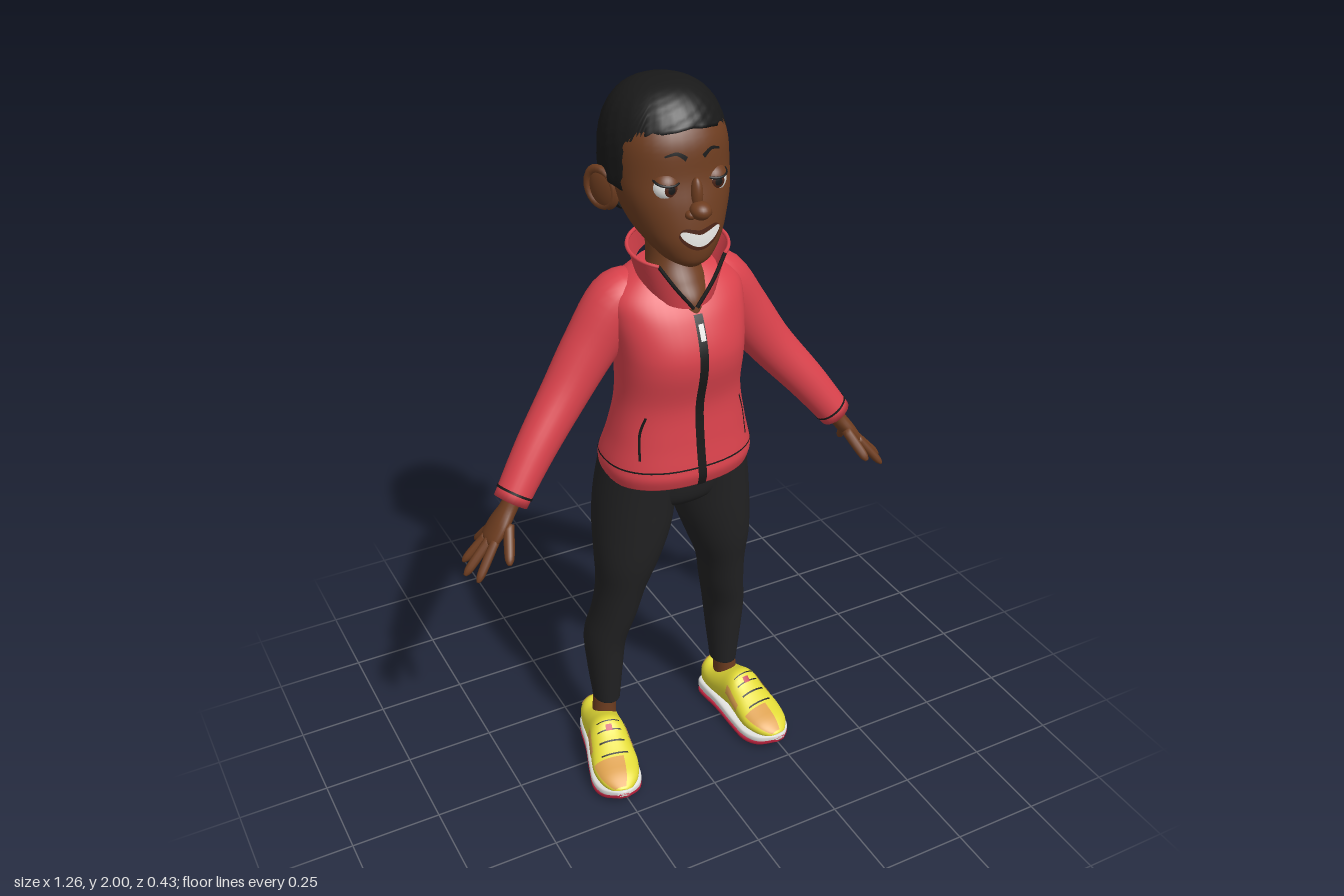
import * as THREE from 'three';

const mat = (name, color, side = THREE.FrontSide) => {
  const m = new THREE.MeshStandardMaterial({ color, side });
  m.name = name;
  return m;
};
const D = THREE.DoubleSide;

// Smooth interpolation through the rows of a table, t = 0..1
function at(rows, t) {
  const n = rows.length - 1, f = Math.min(Math.max(t, 0), 1) * n, i = Math.min(Math.floor(f), n - 1), s = f - i;
  const [p, a, b, q] = [rows[Math.max(i - 1, 0)], rows[i], rows[i + 1], rows[Math.min(i + 2, n)]];
  return a.map((_, k) => {
    const v0 = (b[k] - p[k]) / 2, v1 = (q[k] - a[k]) / 2;
    return a[k] + v0 * s + (3 * (b[k] - a[k]) - 2 * v0 - v1) * s * s + (2 * (a[k] - b[k]) + v0 + v1) * s * s * s;
  });
}

// Grid surface from fn(u, t); closed surfaces wrap in u and may be capped at both ends
function grid(fn, nu, nv, { closed = true, cap = closed, flip = false } = {}) {
  const pos = [], idx = [], cols = closed ? nu : nu + 1, rings = [];
  for (let j = 0; j <= nv; j++) rings.push(Array.from({ length: cols }, (_, i) => fn(i / nu, j / nv)));
  if (cap) {
    const mid = (r) => r.map(() => [0, 1, 2].map((k) => r.reduce((s, p) => s + p[k], 0) / r.length));
    rings.unshift(mid(rings[0]));
    rings.push(mid(rings[rings.length - 1]));
  }
  rings.forEach((r) => r.forEach((p) => pos.push(...p)));
  for (let j = 0; j < rings.length - 1; j++) for (let i = 0; i < nu; i++) {
    const a = j * cols + i, b = j * cols + (i + 1) % cols, c = a + cols, d = b + cols;
    if (flip) idx.push(a, b, c, b, d, c); else idx.push(a, c, b, b, c, d);
  }
  const g = new THREE.BufferGeometry();
  g.setAttribute('position', new THREE.Float32BufferAttribute(pos, 3));
  g.setIndex(idx);
  g.computeVertexNormals();
  return g;
}

const pw = (v, e) => Math.sign(v) * Math.abs(v) ** (2 / e);

// Loft of rows [position, centreX, halfWidth, high, low]; a u/t range makes a thin patch on the surface
function loft(rows, { axis = 'y', e = 2.2, nu = 36, nv = 40, u = null, t = [0, 1], grow = 0 } = {}) {
  const [u0, u1] = u || [0, 1];
  const fn = (a, b) => {
    const [p, cx, hw, hi, lo] = at(rows, t[0] + (t[1] - t[0]) * b), w = (u0 + (u1 - u0) * a) * Math.PI * 2;
    const x = cx + (hw + grow) * pw(Math.cos(w), e), o = (hi + lo) / 2 + ((hi - lo) / 2 + grow) * pw(Math.sin(w), e);
    return axis === 'y' ? [x, p, o] : [x, o, p];
  };
  return grid(fn, nu, nv, { closed: !u, cap: !u && !grow, flip: axis === 'z' });
}

// Limb along rows [x, y, z, thickness, depth]
function limb(rows, { nu = 20, nv = 24, t = [0, 1], grow = 0 } = {}) {
  const vec = (q) => new THREE.Vector3(...at(rows, q).slice(0, 3));
  return grid((a, b) => {
    const q = t[0] + (t[1] - t[0]) * b, r = at(rows, q), w = a * Math.PI * 2;
    const tan = vec(q + 0.01).sub(vec(q - 0.01)).normalize();
    const side = tan.clone().cross(new THREE.Vector3(0, 0, 1)).normalize(), up = side.clone().cross(tan);
    return vec(q).addScaledVector(side, Math.cos(w) * (r[3] + grow)).addScaledVector(up, Math.sin(w) * (r[4] + grow)).toArray();
  }, nu, nv, { cap: !grow });
}

// Front surface depth of a vertical loft at (x, y)
const frontZ = (rows, e) => (x, y) => {
  let lo = 0, hi = 1;
  for (let i = 0; i < 24; i++) { const m = (lo + hi) / 2; if (at(rows, m)[0] < y) lo = m; else hi = m; }
  const [, cx, hw, f, b] = at(rows, lo);
  return (f + b) / 2 + (f - b) / 2 * (1 - Math.min(1, Math.abs((x - cx) / hw)) ** e) ** (1 / e);
};

// Thin strip painted along 2D points on a front surface
const ribbon = (pts, width, zFn, off) => grid((a, b) => {
  const p = at(pts, b), l = at(pts, b - 0.01), r = at(pts, b + 0.01);
  const dx = r[0] - l[0], dy = r[1] - l[1], len = Math.hypot(dx, dy), w = (a * 2 - 1) * width(b);
  const x = p[0] - dy / len * w, y = p[1] + dx / len * w;
  return [x, y, zFn(x, y) + off];
}, 4, 28, { closed: false });

const HX = -0.01; // head centre
const HEAD = [[1.58, HX, 0.025, 0.125, 0.06], [1.6, HX, 0.06, 0.143, 0.01], [1.64, HX, 0.093, 0.15, -0.05], [1.68, HX, 0.116, 0.148, -0.1],
  [1.74, HX, 0.137, 0.138, -0.13], [1.8, HX, 0.145, 0.124, -0.15], [1.88, HX, 0.14, 0.115, -0.16], [1.94, HX, 0.108, 0.078, -0.13], [1.975, HX, 0.05, 0.02, -0.08]];
const NECK = [[1.43, 0, 0.02, 0.122, 0], [1.48, 0, 0.058, 0.112, -0.05], [1.52, -0.003, 0.072, 0.088, -0.07], [1.58, -0.006, 0.062, 0.055, -0.075], [1.68, HX, 0.06, 0.04, -0.08]];
const TORSO = [[0.97, 0, 0.2, 0.145, -0.15], [1, 0, 0.207, 0.155, -0.158], [1.03, 0, 0.204, 0.153, -0.155], [1.1, 0, 0.186, 0.145, -0.13], [1.2, 0, 0.168, 0.14, -0.11],
  [1.3, 0, 0.168, 0.16, -0.115], [1.36, 0, 0.172, 0.157, -0.12], [1.43, 0, 0.18, 0.13, -0.125], [1.48, 0, 0.178, 0.098, -0.12], [1.52, 0, 0.14, 0.065, -0.1], [1.55, 0, 0.085, 0.045, -0.085]];
const PELVIS = [[0.85, 0, 0.05, 0.05, -0.09], [0.89, 0, 0.15, 0.095, -0.135], [0.95, 0, 0.19, 0.112, -0.148], [1.02, 0, 0.19, 0.12, -0.14]];
const LEG = [[0.18, 0.195, 0.038, -0.012, -0.106], [0.2, 0.195, 0.04, -0.01, -0.108], [0.3, 0.195, 0.05, 0, -0.125], [0.4, 0.192, 0.058, 0.012, -0.135], [0.5, 0.172, 0.062, 0.037, -0.115],
  [0.6, 0.157, 0.068, 0.06, -0.105], [0.7, 0.14, 0.09, 0.085, -0.115], [0.8, 0.122, 0.106, 0.1, -0.142], [0.9, 0.111, 0.107, 0.11, -0.152], [1, 0.1, 0.1, 0.12, -0.145]];
const ARM = [[0.08, 1.485, -0.03, 0.05, 0.06], [0.138, 1.452, -0.035, 0.08, 0.078], [0.22, 1.345, -0.035, 0.073, 0.067], [0.3, 1.234, -0.025, 0.063, 0.06],
  [0.4, 1.112, 0.005, 0.054, 0.052], [0.485, 0.998, 0.035, 0.045, 0.046]];
const FINGERS = [ // [base, tip, radius]
  [[0.505, 0.95, 0.065], [0.535, 0.88, 0.135], 0.014], [[0.545, 0.915, 0.068], [0.61, 0.83, 0.1], 0.012], [[0.552, 0.91, 0.045], [0.628, 0.83, 0.056], 0.0125],
  [[0.55, 0.91, 0.022], [0.615, 0.84, 0.01], 0.012], [[0.535, 0.92, 0.005], [0.56, 0.86, -0.042], 0.011]];
const UPPER = [[-0.137, 0, 0.02, 0.1, 0.04], [-0.12, 0, 0.045, 0.135, 0.03], [-0.08, 0, 0.052, 0.128, 0.03], [-0.03, 0, 0.053, 0.145, 0.03], [0.02, 0, 0.055, 0.162, 0.03],
  [0.06, 0, 0.06, 0.135, 0.03], [0.12, 0, 0.066, 0.102, 0.03], [0.17, 0, 0.054, 0.084, 0.035], [0.2, 0, 0.03, 0.066, 0.04], [0.21, 0, 0.012, 0.058, 0.045]];
const MIDSOLE = [[-0.142, 0, 0.025, 0.05, 0.02], [-0.125, 0, 0.05, 0.056, 0.013], [-0.03, 0, 0.055, 0.05, 0.012], [0.06, 0, 0.066, 0.046, 0.012], [0.13, 0, 0.071, 0.046, 0.014], [0.18, 0, 0.055, 0.05, 0.02], [0.216, 0, 0.016, 0.056, 0.036]];
const OUTSOLE = MIDSOLE.map(([z, c, w], i) => [z, c, w, [0.022, 0.018, 0.018, 0.018, 0.02, 0.032, 0.048][i], [0.006, 0, 0, 0, 0.001, 0.01, 0.03][i]]);
const HAIRLINE = [[0, 1.915], [45, 1.9], [58, 1.78], [62, 1.76], [85, 1.77], [95, 1.79], [110, 1.72], [130, 1.655], [181, 1.64]];

export function createModel() {
  const root = new THREE.Group();
  const skin = mat('skin', 0x6e3d20), black = mat('hairBlack', 0x191919, D), legging = mat('leggingCharcoal', 0x222223), jacket = mat('jacketRed', 0xda424c, D);
  const yellow = mat('shoeYellow', 0xe2da36), orange = mat('shoeOrange', 0xdca04c, D), white = mat('white', 0xe9e9e6, D), sole = mat('soleRed', 0xbe2440, D), lip = mat('lipBrown', 0x4c2416, D);
  const add = (name, geo, m, parent = root) => {
    const o = new THREE.Mesh(geo, m);
    o.name = name;
    parent.add(o);
    return o;
  };
  const ball = (name, m, p, s, parent = root) => {
    const o = add(name, new THREE.SphereGeometry(1, 24, 16), m, parent);
    o.position.set(...p);
    o.scale.set(...s);
    return o;
  };
  const faceZ = frontZ(HEAD, 2.2), chestZ = frontZ(TORSO, 2.3);

  // Head and neck
  add('head', loft(HEAD), skin);
  add('neck', loft(NECK, { e: 2 }), skin);
  ball('noseTip', skin, [HX, 1.732, 0.15], [0.026, 0.022, 0.029]);
  ball('noseBridge', skin, [HX, 1.765, 0.13], [0.015, 0.042, 0.018]);

  // Short hair cap, cut along the hairline with its rim turned inwards
  const line = (deg) => {
    const i = HAIRLINE.findIndex((h, k) => k && h[0] >= deg), [a, b] = [HAIRLINE[i - 1], HAIRLINE[i]];
    return a[1] + (b[1] - a[1]) * (deg - a[0]) / (b[0] - a[0]);
  };
  add('hair', grid((u, t) => {
    const phi = u * Math.PI * 2, k = (line(Math.min(u, 1 - u) * 360) - 1.81) / 0.19;
    const end = Math.acos(pw(k, 1.6)), w = Math.min(1, t * 25 / 24) * end;
    const curl = Math.sin(phi * 19 + w * 17) * Math.sin(w * 23 - phi * 5) * 0.012 * Math.sin(w);
    const r = Math.max(0, Math.sin(w)) ** 0.8 * (t === 1 ? 0.9 : 1 + curl);
    return [HX + 0.155 * r * Math.sin(phi), 1.81 + 0.19 * pw(Math.cos(w), 2.5), -0.045 + 0.165 * r * Math.cos(phi)];
  }, 90, 25, { cap: false }), black);

  // Eyes, brows, ears
  const R = 0.036;
  for (const s of [1, -1]) {
    const eye = new THREE.Group();
    eye.name = s > 0 ? 'leftEye' : 'rightEye';
    eye.position.set(HX + s * 0.062, 1.783, 0.089);
    root.add(eye);
    add('eyeball', new THREE.SphereGeometry(R, 24, 16), white, eye);
    [['iris', 1.02, 0.48, lip], ['pupil', 1.04, 0.26, black]].forEach(([n, k, a, m]) =>
      add(n, new THREE.SphereGeometry(R * k, 20, 6, 0, Math.PI * 2, 0, a).rotateX(Math.PI / 2), m, eye));
    const lid = new THREE.Group();
    lid.name = 'eyelid';
    lid.rotation.x = 0.3;
    eye.add(lid);
    add('lid', new THREE.SphereGeometry(R * 1.08, 24, 8, 0, Math.PI * 2, 0, 1), skin, lid);
    add('lashes', new THREE.TorusGeometry(R * 1.08 * Math.sin(1), 0.003, 6, 28).rotateX(Math.PI / 2), black, lid).position.y = R * 1.08 * Math.cos(1);
    add('eyebrow', ribbon([[HX + s * 0.022, 1.852], [HX + s * 0.045, 1.866], [HX + s * 0.072, 1.86]], (t) => 0.006 - 0.004 * t, faceZ, 0.004), black);
    ball('nostril', skin, [HX + s * 0.021, 1.722, 0.14], [0.014, 0.012, 0.016]);
    const ear = ball('ear', skin, [HX + s * 0.15, 1.742, -0.055], [0.016, 0.054, 0.042]);
    ear.rotation.set(-0.15, s * -0.5, s * -0.15);
    const rim = add('earRim', new THREE.TorusGeometry(0.038, 0.009, 8, 24).rotateY(Math.PI / 2).scale(1, 1.25, 1), skin);
    rim.position.set(HX + s * 0.158, 1.745, -0.062);
    rim.rotation.copy(ear.rotation);
  }

  // Smiling mouth
  const smile = [[HX - 0.05, 1.682], [HX, 1.659], [HX + 0.054, 1.684]];
  add('lips', ribbon(smile, (t) => 0.004 + 0.021 * Math.sin(Math.PI * t) ** 0.6, faceZ, 0.005), lip);
  add('teeth', ribbon(smile, (t) => 0.001 + 0.014 * Math.sin(Math.PI * t) ** 0.6, faceZ, 0.008), white);

  // Jacket body with hem line, zip and pockets
  add('jacketBody', loft(TORSO, { e: 2.3, nu: 48, nv: 60 }), jacket);
  add('hemLine', loft(TORSO, { e: 2.3, nu: 48, nv: 1, t: [0.188, 0.198], grow: 0.002 }), black);
  add('zip', ribbon([[0, 0.972], [-0.004, 1.2], [0, 1.45]], () => 0.012, chestZ, 0.005), black);
  add('zipPull', ribbon([[0, 1.39], [0, 1.43]], () => 0.007, chestZ, 0.009), white);
  for (const s of [1, -1]) add('pocketSeam', ribbon([[s * 0.135, 1.18], [s * 0.15, 1.13], [s * 0.155, 1.06]], () => 0.0025, chestZ, 0.003), black);

  // Flared collar, open at the front
  const collar = (u, t) => {
    const gap = 0.05 + 0.72 * t ** 0.8, a = gap + u * (Math.PI * 2 - gap * 2), c = Math.cos(a), l = THREE.MathUtils.lerp;
    return [-0.004 + l(0.1, 0.13, t) * Math.sin(a), l(1.515 - 0.05 * c, 1.603 - 0.024 * c, t), l(0.013, 0.026, t) + l(0.105, 0.103, t) * c];
  };
  add('collar', grid(collar, 48, 8, { closed: false, flip: true }), jacket);
  const edge = [[0, 0], [0, 0.5], [0, 1], [0.02, 1], [0.25, 1], [0.5, 1], [0.75, 1], [0.98, 1], [1, 1], [1, 0.5], [1, 0]].map((p) => new THREE.Vector3(...collar(...p)));
  [[0, 3], [8, 11]].forEach(([a, b]) => add('collarZip', new THREE.TubeGeometry(new THREE.CatmullRomCurve3(edge.slice(a, b)), 14, 0.005, 6), black));
  add('collarRim', new THREE.TubeGeometry(new THREE.CatmullRomCurve3(Array.from({ length: 25 }, (_, i) => new THREE.Vector3(...collar(i / 24, 1)))), 60, 0.005, 6), jacket);

  // Leggings
  add('hips', loft(PELVIS), legging);

  for (const s of [1, -1]) {
    const side = s > 0 ? 'left' : 'right';
    const flipX = (rows, k) => rows.map((r) => r.map((v, i) => (i === k ? v * s : v)));

    // Sleeve and hand
    add(side + 'Sleeve', limb(flipX(ARM, 0), { nu: 28 }), jacket);
    add(side + 'CuffLine', limb(flipX(ARM, 0), { nu: 28, nv: 1, t: [0.945, 0.955], grow: 0.002 }), black);
    const palm = [[0.465, 1.025, 0.03, 0.024, 0.026], [0.49, 0.985, 0.035, 0.022, 0.027], [0.52, 0.945, 0.038, 0.021, 0.04], [0.548, 0.91, 0.04, 0.016, 0.04], [0.556, 0.9, 0.04, 0.008, 0.03]];
    add(side + 'Palm', limb(flipX(palm, 0)), skin);
    FINGERS.forEach(([a, b, r]) => {
      const p = (k, w) => [...a.map((v, i) => v + (b[i] - v) * k), w, w];
      add(side + 'Finger', limb(flipX([p(0, r), p(0.5, r), p(0.85, r * 0.85), p(1, r * 0.35)], 0), { nu: 10, nv: 10 }), skin);
    });

    // Leg and ankle
    add(side + 'Leg', loft(flipX(LEG, 1), { e: 2 }), legging);
    add(side + 'Ankle', loft(flipX([[0.09, 0.205, 0.036, -0.015, -0.1], [0.14, 0.203, 0.033, -0.02, -0.098], [0.21, 0.196, 0.034, -0.02, -0.1]], 1), { e: 2, nv: 10 }), skin);

    // Running shoe, toes turned out
    const shoe = new THREE.Group();
    shoe.name = side + 'Shoe';
    shoe.position.x = s > 0 ? 0.213 : -0.228;
    shoe.rotation.y = s > 0 ? 0.13 : -0.2;
    root.add(shoe);
    const z = { axis: 'z' };
    add('upper', loft(UPPER, z), yellow, shoe);
    add('midsole', loft(MIDSOLE, { ...z, e: 3.5 }), white, shoe);
    add('outsole', loft(OUTSOLE, { ...z, e: 3.5, nv: 30 }), sole, shoe);
    const patch = (name, m, u, t, grow = 0.002) => add(name, loft(UPPER, { ...z, nu: 12, nv: 8, u, t, grow }), m, shoe);
    patch('toePatch', orange, s > 0 ? [0.22, 0.42] : [0.2, 0.44], [0.67, 0.93]);
    patch('sidePatch', orange, [0.01, 0.08], [0.44, 0.6]);
    patch('sidePatch', orange, [0.42, 0.49], [0.44, 0.6]);
    patch('heelPatch', orange, [0.06, 0.44], [0.06, 0.12]);
    patch('tongueTab', sole, [0.23, 0.27], [0.5, 0.54], 0.003);
    [0.47, 0.53, 0.59, 0.65].forEach((t) => patch('lace', black, [0.16, 0.34], [t, t + 0.008], 0.003));
  }
  return root;
}
